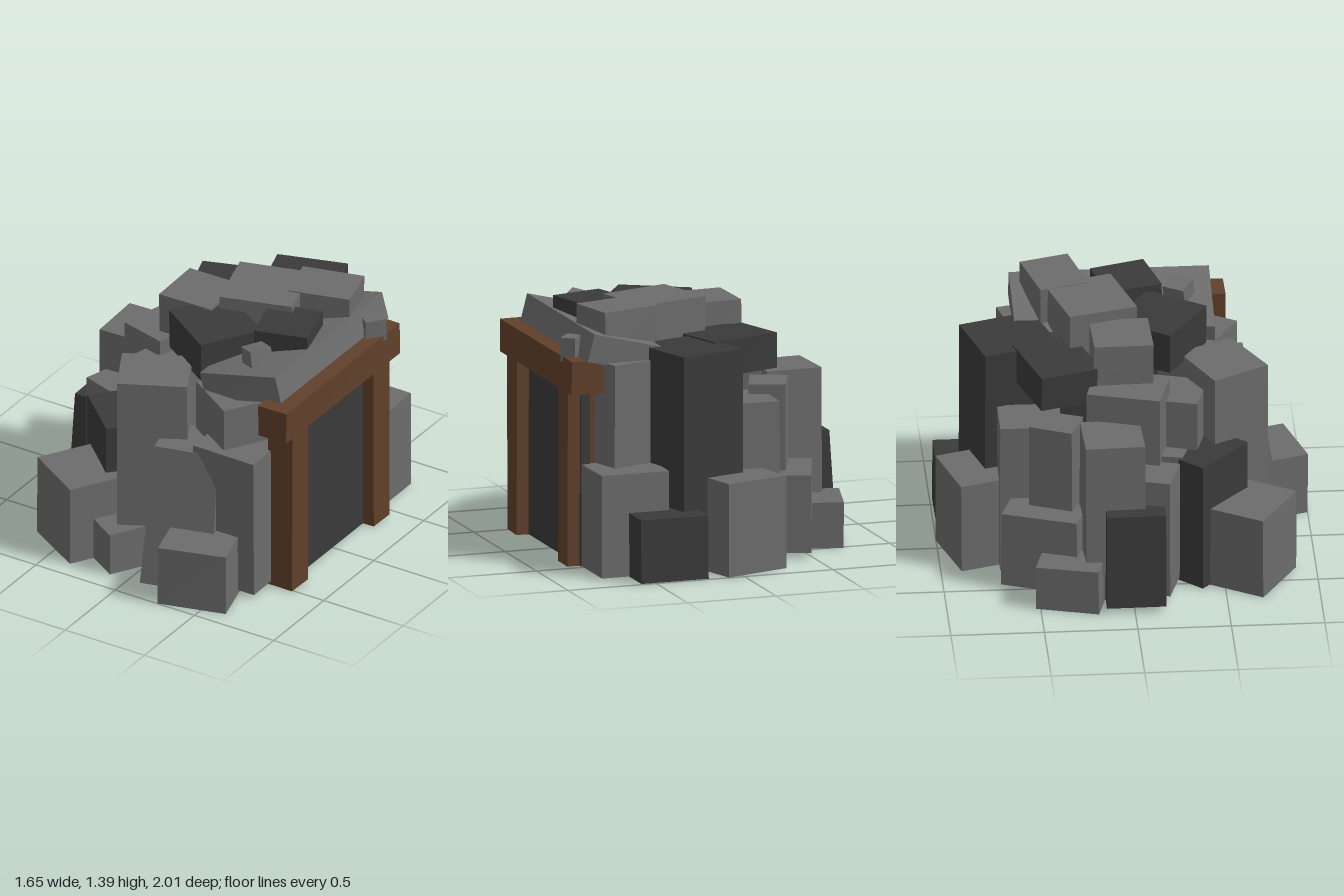
import * as THREE from 'three';

const mat = (name, color) => {
  const m = new THREE.MeshStandardMaterial({ color });
  m.name = name;
  return m;
};

export function createModel() {
  const root = new THREE.Group();
  root.name = 'mineEntrance';
  const light = mat('light stone', 0x6c6c6c);
  const dark = mat('dark stone', 0x3a3a3a);
  const wood = mat('timber', 0x60402a);
  const soil = mat('soil', 0x91623f);
  const clay = mat('clay', 0xb89068);
  const gold = mat('ochre', 0xdcb40c);

  let seed = 7;
  const rand = () => {
    seed = (seed * 16807) % 2147483647;
    return seed / 2147483647 - 0.5;
  };

  // Hewn block: a box with slightly displaced corners and optional splayed feet
  function block(parent, name, [x, z, w, d, deg, y0, y1], material, o = {}) {
    const { rough = 0.006, splayZ = 0, splayX = 0, tilt = 0, under } = o;
    const h = y1 - y0;
    const box = new THREE.BoxGeometry(w, h, d);
    const p = box.attributes.position;
    const shift = {};
    for (let i = 0; i < p.count; i++) {
      const sx = Math.sign(p.getX(i)), sy = Math.sign(p.getY(i)), sz = Math.sign(p.getZ(i));
      const s = (shift[`${sx},${sy},${sz}`] ??= [rand() * rough, rand() * rough, rand() * rough]);
      // only the feet spread outwards
      const ex = sy < 0 && sx === Math.sign(splayX) ? splayX : 0;
      const ez = sy < 0 && sz === Math.sign(splayZ) ? splayZ : 0;
      p.setXYZ(i, p.getX(i) + s[0] + ex, p.getY(i) + (sy > 0 || y0 > 0.01 ? s[1] : 0), p.getZ(i) + s[2] + ez);
    }
    const geo = box.toNonIndexed();
    geo.computeVertexNormals();
    // the fourth box face is the underside
    const mats = under ? [0, 1, 2, 3, 4, 5].map((i) => (i === 3 ? under : material)) : material;
    const mesh = new THREE.Mesh(geo, mats);
    mesh.name = name;
    mesh.position.set(x, (y0 + y1) / 2, z);
    mesh.rotation.set(0, THREE.MathUtils.degToRad(-deg), THREE.MathUtils.degToRad(tilt));
    parent.add(mesh);
  }

  function pile(name, rows) {
    const g = new THREE.Group();
    g.name = name + 's';
    rows.forEach(([dims, m, o]) => block(g, name, dims, m, o));
    root.add(g);
  }

  // Each row: [centre x, centre z, width, depth, turn, bottom, top]
  pile('footStone', [
    [[-0.04, -0.77, 0.385, 0.37, -17, 0.002, 0.51], light, { under: soil }],
    [[0.39, -0.8, 0.38, 0.37, 0, 0, 0.345], dark, { under: clay }],
    [[0.545, -0.63, 0.38, 0.33, 0, 0.001, 0.56], light, { under: clay }],
    [[-0.66, -0.33, 0.235, 0.34, 15, 0, 0.25], light, { under: soil }],
    [[-0.46, -0.46, 0.21, 0.42, 20, 0.025, 0.45], light],
    [[-0.69, 0.01, 0.18, 0.32, 0, 0.03, 0.56], dark, { splayX: -0.035 }],
    [[-0.435, 0.655, 0.39, 0.32, 31, 0, 0.455], light, { under: gold }],
    [[-0.135, 0.72, 0.2, 0.24, 31, 0.001, 0.24], light, { under: gold }],
    [[0.41, 0.8, 0.38, 0.31, -16, 0, 0.345], light, { under: gold }],
  ]);

  pile('wallStone', [
    // front
    [[-0.31, 0.385, 0.38, 0.34, 43, 0.002, 0.725], dark, { under: gold }],
    [[-0.05, 0.525, 0.38, 0.33, -27, 0.025, 1.11], light],
    [[0.22, 0.56, 0.36, 0.28, -14, 0.002, 0.785], light, { splayZ: 0.12, splayX: -0.04, under: gold }],
    [[0.48, 0.53, 0.385, 0.3, 0, 0.02, 0.825], light],
    [[0.39, 0.42, 0.34, 0.3, 32, 0.025, 1.07], light],
    // left
    [[-0.525, 0.12, 0.27, 0.24, 17, 0.025, 0.7], light],
    [[-0.39, 0.23, 0.11, 0.13, 15, 0.025, 0.735], light],
    [[-0.17, 0.26, 0.3, 0.3, 15, 0.025, 1.0], light],
    [[-0.54, -0.1, 0.31, 0.32, -2, 0.025, 0.935], light],
    [[-0.285, 0, 0.28, 0.4, 15, 0.025, 1.09], light],
    // back
    [[-0.18, -0.52, 0.27, 0.33, 1, 0.025, 0.87], light],
    [[-0.35, -0.39, 0.2, 0.24, 22, 0.025, 0.92], light],
    [[0.17, -0.605, 0.39, 0.42, -17, 0.025, 1.19], dark],
    [[0.47, -0.48, 0.35, 0.24, -15, 0.025, 1.12], light],
  ]);

  pile('capStone', [
    [[0.475, -0.03, 0.49, 1.07, 0, 1.075, 1.225], light, { tilt: 14 }],
    [[-0.12, -0.37, 0.42, 0.34, -18, 1.0, 1.195], dark],
    [[-0.11, -0.025, 0.32, 0.32, -1, 1.06, 1.32], light],
    [[0.125, 0.195, 0.4, 0.36, 33, 1.08, 1.305], dark],
    [[0.49, 0.045, 0.3, 0.3, -16, 1.2, 1.345], dark],
    [[0.215, -0.165, 0.4, 0.38, -16, 1.13, 1.38], light],
    [[0.485, -0.34, 0.34, 0.27, -15, 1.14, 1.386], light],
    [[0.47, 0.325, 0.115, 0.125, 32, 1.2, 1.31], light, { tilt: 12 }],
    [[0.76, -0.38, 0.085, 0.12, 40, 1.11, 1.24], light],
  ]);

  // Dark tunnel mouth behind the timber frame
  block(root, 'tunnelMouth', [0.715, -0.01, 0.05, 0.94, 0, 0, 1.08], dark, { rough: 0 });

  // Timber frame
  const frame = new THREE.Group();
  frame.name = 'timberFrame';
  root.add(frame);
  for (const z of [0.43, -0.38]) {
    block(frame, 'post', [0.73, z, 0.155, 0.155, 0, 0, 0.96], wood);
  }
  block(frame, 'lintel', [0.73, 0.02, 0.175, 1.14, 0, 0.955, 1.135], wood);
  return root;
}
